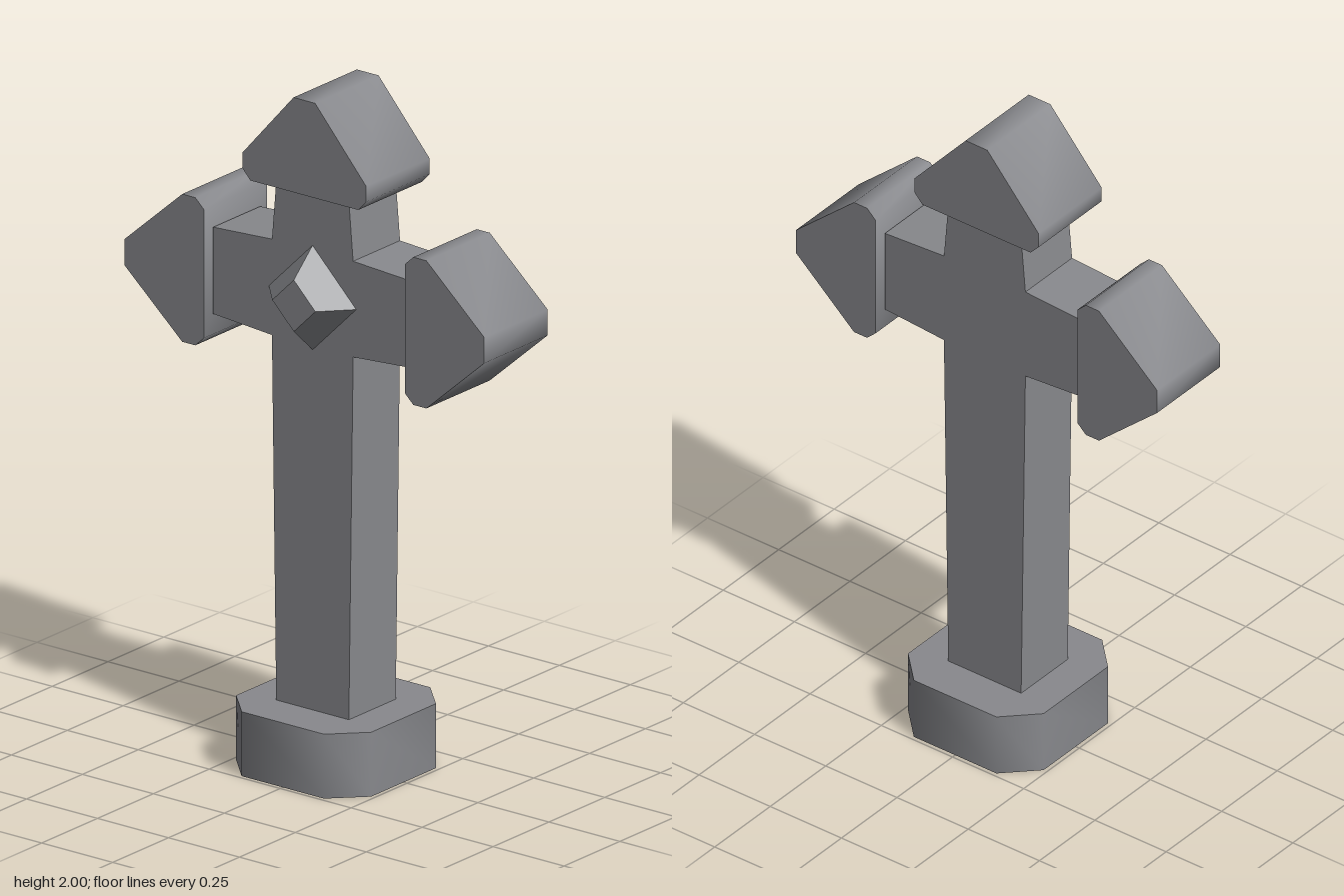
import * as THREE from 'three';
import { toCreasedNormals } from 'three/addons/utils/BufferGeometryUtils.js';

const CENTRE_Y = 1.407; // height where the arms cross

// Flat outline pushed out to a slab centred on z = 0
function slab(points, depth) {
  const shape = new THREE.Shape(points.map(([x, y]) => new THREE.Vector2(x, y)));
  return new THREE.ExtrudeGeometry(shape, { depth, bevelEnabled: false }).translate(0, 0, -depth / 2);
}

// Right half of an outline (bottom to top) plus its mirror image
function mirrored(half) {
  return [...half, ...half.map(([x, y]) => [-x, y]).reverse()];
}

// Soft shading round the blunted corners, sharp at the 90 degree edges
const soften = (geometry) => toCreasedNormals(geometry, Math.PI / 3);

export function createModel() {
  const group = new THREE.Group();
  const stone = new THREE.MeshStandardMaterial({ color: 0x88898d });
  stone.name = 'grey stone';

  const add = (name, geometry) => {
    const mesh = new THREE.Mesh(geometry, stone);
    mesh.name = name;
    group.add(mesh);
    return mesh;
  };

  // Foot: square block with cut corners
  const foot = slab(mirrored([[0.145, -0.238], [0.238, -0.145], [0.238, 0.145], [0.145, 0.238]]), 0.19);
  add('foot', soften(foot.rotateX(-Math.PI / 2).translate(0, 0.095, 0)));

  // Shaft and arms in one tapering cross
  add('cross', slab(mirrored([
    [0.128, 0.19], [0.143, 1.264], [0.35, 1.279],
    [0.35, 1.535], [0.143, 1.547], [0.128, 1.72],
  ]), 0.21));

  // Blunt arrow-shaped ends on the three upper arms
  const cap = soften(slab(mirrored([
    [0.19, 0], [0.218, 0.03], [0.218, 0.076], [0.038, 0.28],
  ]), 0.284));
  const ends = [
    ['topEnd', 0, 1.72, 0],
    ['leftEnd', 0.354, CENTRE_Y, -Math.PI / 2],
    ['rightEnd', -0.354, CENTRE_Y, Math.PI / 2],
  ];
  for (const [name, x, y, turn] of ends) {
    const end = add(name, cap);
    end.position.set(x, y, 0);
    end.rotation.z = turn;
  }

  // Four-sided stud on the front of the crossing
  const stud = new THREE.CylinderGeometry(0.076, 0.155, 0.085, 4).toNonIndexed();
  stud.computeVertexNormals();
  add('stud', stud.rotateX(Math.PI / 2).translate(0, CENTRE_Y, 0.1465));

  return group;
}
